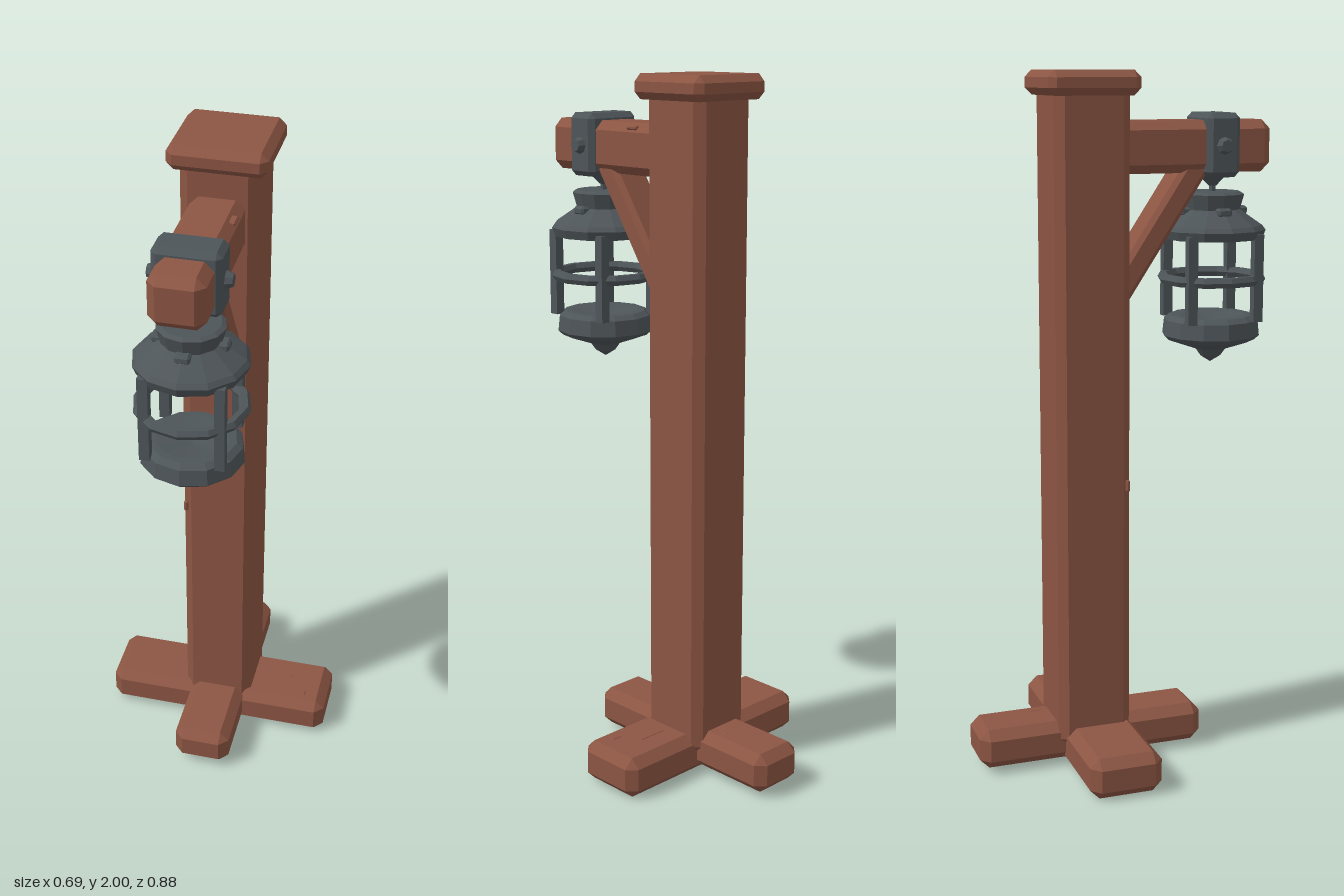
import * as THREE from 'three';
import { ConvexGeometry } from 'three/addons/geometries/ConvexGeometry.js';

const wood = new THREE.MeshStandardMaterial({ color: 0x8c5543, flatShading: true });
wood.name = 'reddish wood';
const iron = new THREE.MeshStandardMaterial({ color: 0x4e5559, flatShading: true, side: THREE.DoubleSide });
iron.name = 'dark iron';

// Box with every edge and corner cut by c
function chamferBox(w, h, d, c) {
  const pts = [];
  for (const x of [-1, 1]) for (const y of [-1, 1]) for (const z of [-1, 1])
    for (let full = 0; full < 3; full++) {
      const half = [w / 2, h / 2, d / 2].map((s, i) => (i === full ? s : s - c));
      pts.push(new THREE.Vector3(x * half[0], y * half[1], z * half[2]));
    }
  return new ConvexGeometry(pts);
}

function add(parent, name, geometry, material, x = 0, y = 0, z = 0) {
  const mesh = new THREE.Mesh(geometry, material);
  mesh.name = name;
  mesh.position.set(x, y, z);
  parent.add(mesh);
  return mesh;
}

// Chamfered beam from its minimum and maximum corners
function beam(parent, name, min, max, c, material = wood) {
  const s = max.map((v, i) => v - min[i]);
  const m = max.map((v, i) => (v + min[i]) / 2);
  return add(parent, name, chamferBox(...s, c), material, ...m);
}

function lathe(profile) {
  return new THREE.LatheGeometry(profile.map(([r, y]) => new THREE.Vector2(r, y)), 12);
}

function createLantern() {
  const g = new THREE.Group();
  g.name = 'lantern';

  // Flared chimney and overhanging roof, hollow below
  add(g, 'lanternRoof', lathe([
    [0, 1.56], [0.115, 1.545], [0.125, 1.53], [0.145, 1.53], [0.155, 1.555], [0.145, 1.568],
    [0.08, 1.612], [0.092, 1.655], [0.08, 1.662], [0, 1.662],
  ]), iron);
  // Basin with a pointed underside
  add(g, 'lanternBase', lathe([
    [0, 1.168], [0.03, 1.187], [0.045, 1.208], [0.128, 1.237], [0.142, 1.25],
    [0.137, 1.295], [0.12, 1.308], [0.1, 1.308], [0, 1.29],
  ]), iron);

  // Cage posts and hoop
  for (const x of [-1, 1]) for (const z of [-1, 1])
    add(g, 'cagePost', new THREE.BoxGeometry(0.028, 0.25, 0.028), iron, x * 0.1, 1.42, z * 0.1);
  const hoop = add(g, 'cageHoop', new THREE.TorusGeometry(0.141, 0.016, 6, 12), iron, 0, 1.415, 0);
  hoop.rotation.x = Math.PI / 2;

  // Small vent hoods around the chimney
  for (let i = 0; i < 4; i++) {
    const a = i * Math.PI / 2;
    const vent = add(g, 'ventHood', chamferBox(0.042, 0.024, 0.04, 0.006), iron,
      Math.sin(a) * 0.082, 1.607, Math.cos(a) * 0.082);
    vent.rotation.y = a;
  }

  // Hanger between chimney and strap
  add(g, 'hangerStem', new THREE.CylinderGeometry(0.01, 0.01, 0.06, 6), iron, 0, 1.67, 0);
  add(g, 'hangerCone', new THREE.CylinderGeometry(0.04, 0.012, 0.028, 8), iron, 0, 1.692, 0);

  // Strap around the arm with side bolts
  beam(g, 'strap', [-0.09, 1.705, -0.05], [0.09, 1.883, 0.05], 0.015, iron);
  for (const s of [-1, 1]) {
    const bolt = add(g, 'strapBolt', new THREE.CylinderGeometry(0.017, 0.026, 0.022, 8), iron, s * 0.098, 1.793, 0);
    bolt.rotation.z = -s * Math.PI / 2;
  }
  g.position.z = 0.283;
  return g;
}

export function createModel() {
  const model = new THREE.Group();
  model.name = 'lanternPost';

  // Crossed feet
  beam(model, 'crossFoot', [-0.348, 0, -0.193], [0.347, 0.12, 0.02], 0.027);
  beam(model, 'longFoot', [-0.085, 0.014, -0.445], [0.085, 0.131, 0.238], 0.027);

  // Upright and its cap
  beam(model, 'post', [-0.105, 0.06, -0.212], [0.105, 1.96, 0.005], 0.025);
  beam(model, 'postCap', [-0.135, 1.932, -0.237], [0.133, 2, 0.026], 0.02);

  // Arm and diagonal brace
  beam(model, 'arm', [-0.075, 1.718, -0.08], [0.073, 1.863, 0.435], 0.025);
  const brace = add(model, 'brace', chamferBox(0.12, 0.47, 0.072, 0.014), wood, 0, 1.56, 0.1);
  brace.rotation.x = 0.583;

  // Splinters and cracks in the timber: [x, y, z, width, height, depth]
  const splinters = [
    [0.18, 0.119, -0.1, 0.09, 0.006, 0.008],
    [0.265, 0.117, -0.035, 0.035, 0.01, 0.022],
    [0.035, 0.13, -0.25, 0.008, 0.006, 0.03],
    [0.062, 1.85, 0.09, 0.02, 0.012, 0.04],
    [-0.098, 0.84, -0.005, 0.012, 0.035, 0.012],
  ];
  for (const [x, y, z, w, h, d] of splinters)
    add(model, 'splinter', chamferBox(w, h, d, Math.min(w, h, d) * 0.3), wood, x, y, z);

  model.add(createLantern());
  return model;
}
